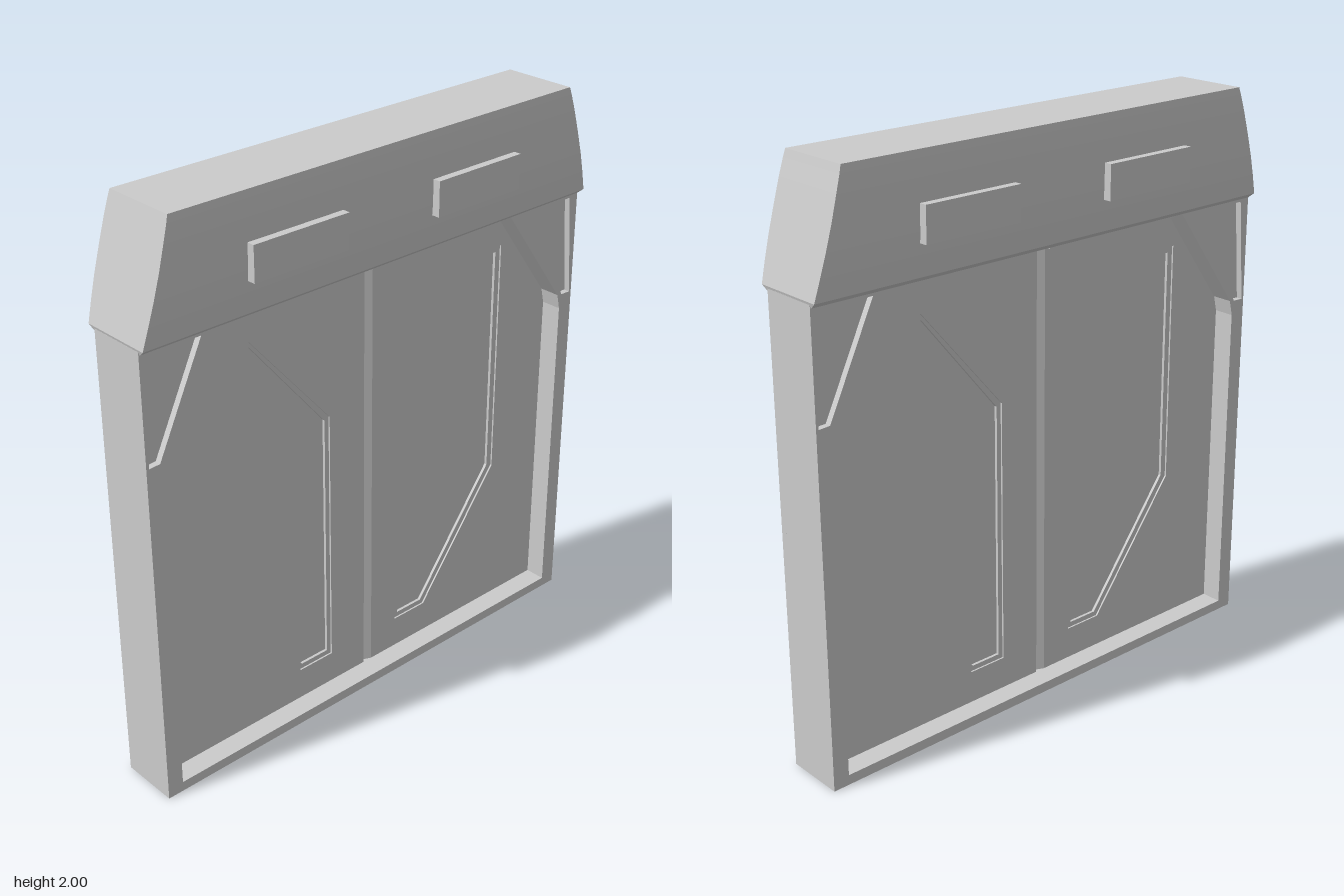
import * as THREE from 'three';

const material = new THREE.MeshStandardMaterial({ color: 0xcccccc, flatShading: true, side: THREE.DoubleSide });
const vec = (pts) => pts.map(([x, y]) => new THREE.Vector2(x, y));
const mirror = (pts, side) => pts.map(([x, y]) => [x * side, y]);

function add(parent, name, geometry) {
  const mesh = new THREE.Mesh(geometry, material);
  mesh.name = name;
  parent.add(mesh);
}

// Flat outline with optional holes, extruded from z0 to z1
function slab(parent, name, outline, holes, z0, z1) {
  const shape = new THREE.Shape(vec(outline));
  holes.forEach((h) => shape.holes.push(new THREE.Path(vec(h))));
  const geometry = new THREE.ExtrudeGeometry(shape, { depth: z1 - z0, bevelEnabled: false });
  add(parent, name, geometry.translate(0, 0, z0));
}

// Closed skin through successive loops of 3D points
function loft(loops) {
  const n = loops[0].length, top = (loops.length - 1) * n, index = [];
  for (let l = 0; l < top; l += n) {
    for (let i = 0; i < n; i++) {
      const a = l + i, b = l + (i + 1) % n;
      index.push(a, b, b + n, a, b + n, a + n);
    }
  }
  for (let i = 1; i < n - 1; i++) index.push(0, i + 1, i, top, top + i, top + i + 1);
  const geometry = new THREE.BufferGeometry();
  geometry.setAttribute('position', new THREE.Float32BufferAttribute(loops.flat(2), 3));
  geometry.setIndex(index);
  const flat = geometry.toNonIndexed();
  flat.computeVertexNormals();
  return flat;
}

// Half width, then depths of the recess floor, recess ledge, door leaf and frame
const W = 0.928, CORE = 0.014, LEDGE = 0.024, DOOR = 0.03, FACE = 0.105, BRACE = 0.083;

// Recess outline and its inner edge, for the +x leaf
const recess = [[0.635, 1.465], [0.475, 1.465], [0.152, 1.09], [0.152, 0.15], [0.295, 0.15], [0.635, 0.6]];
const recessFloor = [[0.614, 1.443], [0.47, 1.443], [0.169, 1.08], [0.169, 0.168], [0.285, 0.168], [0.614, 0.608]];

// Half of the U-shaped frame with its corner brace, and the brace cutout
const frameHalf = [[0, 0], [W, 0], [W, 1.61], [0.585, 1.61], [0.857, 1.235], [0.87, 1.18], [0.87, 0.035], [0, 0.035]];
const cutout = [[0.89, 1.59], [0.707, 1.59], [0.878, 1.232], [0.919, 1.23]];

function createFace(name) {
  const face = new THREE.Group();
  face.name = name;
  for (const s of [-1, 1]) {
    const side = s > 0 ? 'left' : 'right';
    // Frame: solid lower layer and a top layer pierced by the brace cutout
    slab(face, side + 'FrameBase', mirror(frameHalf, s), [], CORE, BRACE);
    slab(face, side + 'FrameFront', mirror(frameHalf, s), [mirror(cutout, s)], BRACE, FACE);

    // Door leaf with a stepped hexagonal recess
    const inner = s > 0 ? 0.036 : 0;
    const leaf = mirror([[inner, 0.03], [0.88, 0.03], [0.88, 1.61], [inner, 1.61]], s);
    slab(face, side + 'RecessLedge', leaf, [mirror(recessFloor, s)], CORE, LEDGE);
    slab(face, side + 'DoorLeaf', leaf, [mirror(recess, s)], LEDGE, DOOR);

    // Trim strip along the top of the leaf
    const trim = new THREE.BoxGeometry(0.585, 0.035, 0.03);
    add(face, side + 'TopTrim', trim.translate(s * 0.3275, 1.5925, DOOR + 0.01));

    // Raised plate on the header
    const plate = new THREE.BoxGeometry(0.367, 0.12, 0.068);
    add(face, side + 'HeaderPlate', plate.translate(s * 0.372, 1.785, 0.134));
  }
  // Sloped side of the groove where the leaves meet
  add(face, 'doorSeam', loft([0.03, 1.61].map((y) => [[0.036, y, DOOR], [0.036, y, CORE], [0, y, CORE]])));
  return face;
}

export function createModel() {
  const model = new THREE.Group();
  model.name = 'doubleDoor';

  // Central slab forming the recess floors
  add(model, 'doorCore', new THREE.BoxGeometry(2 * W, 1.61, 2 * CORE).translate(0, 0.805, 0));

  // Matching faces front and back
  const back = createFace('backFace');
  back.rotation.y = Math.PI;
  model.add(createFace('frontFace'), back);

  // Tapered, gently bulging header: [y, half width, half depth]
  const levels = [[1.6, 0.925, 0.108], [1.618, 0.93, 0.13], [1.69, 0.91, 0.136], [1.76, 0.89, 0.14],
    [1.84, 0.867, 0.141], [1.92, 0.845, 0.139], [1.975, 0.829, 0.136], [2, 0.822, 0.133]];
  add(model, 'header', loft(levels.map(([y, x, z]) => [[-x, y, z], [x, y, z], [x, y, -z], [-x, y, -z]])));
  return model;
}
